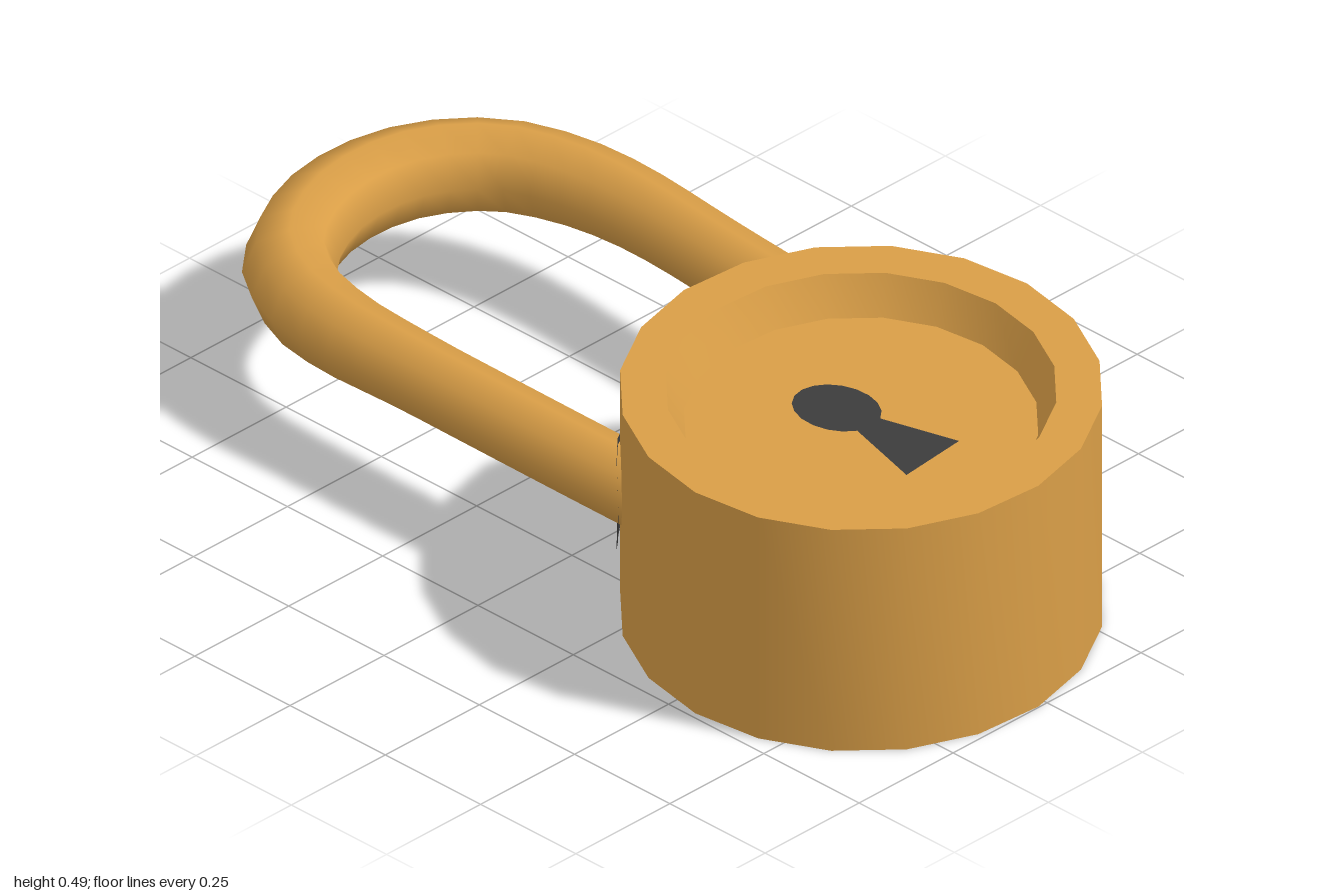
import * as THREE from 'three';
import { toCreasedNormals } from 'three/addons/utils/BufferGeometryUtils.js';

const HEIGHT = 0.485, FLOOR = 0.41;

// slightly skewed round footprint of the body: unit circle (c, s) to x, z
const footprint = (c, s) => [0.518 + 0.48 * c + 0.04 * s, 0.006 + 0.015 * c + 0.482 * s];

// turned body with a tapered recess in its top
function bodyGeometry() {
  const profile = [[0, 0], [1, 0], [1, HEIGHT], [0.81, HEIGHT], [0.735, FLOOR], [0, FLOOR]]
    .map(([r, y]) => new THREE.Vector2(r, y));
  const geo = new THREE.LatheGeometry(profile, 20);
  const pos = geo.attributes.position;
  for (let i = 0; i < pos.count; i++) {
    const [x, z] = footprint(pos.getX(i), pos.getZ(i));
    pos.setXYZ(i, x, pos.getY(i), z);
  }
  return toCreasedNormals(geo, 0.6);
}

// bent bar, a little thicker around the bend
function shackleGeometry() {
  const path = [
    [0.3, -0.362], [0.1, -0.377], [-0.2, -0.4], [-0.5, -0.422], [-0.645, -0.408], [-0.77, -0.362],
    [-0.85, -0.285], [-0.9, -0.18], [-0.909, -0.05], [-0.88, 0.065], [-0.81, 0.18], [-0.7, 0.25],
    [-0.57, 0.277], [-0.4, 0.281], [-0.1, 0.284], [0.1, 0.285], [0.32, 0.285],
  ].map(([x, z]) => new THREE.Vector3(x, 0.252, z));
  const curve = new THREE.CatmullRomCurve3(path);
  const rings = 40, sides = 8;
  const geo = new THREE.TubeGeometry(curve, rings, 0.075, sides, false);
  const pos = geo.attributes.position, p = new THREE.Vector3();
  for (let i = 0; i <= rings; i++) {
    const centre = curve.getPointAt(i / rings);
    const swell = 1 + 0.21 * THREE.MathUtils.smoothstep(-centre.x, 0.3, 0.9);
    for (let j = 0; j <= sides; j++) {
      const k = i * (sides + 1) + j;
      p.fromBufferAttribute(pos, k).sub(centre).multiplyScalar(swell).add(centre);
      pos.setXYZ(k, p.x, p.y, p.z);
    }
  }
  return geo;
}

// round dark patch wrapped onto the body side where the bar enters
function holeGeometry(angle, y) {
  const geo = new THREE.CircleGeometry(1, 12);
  const pos = geo.attributes.position;
  for (let i = 0; i < pos.count; i++) {
    const a = angle - 0.22 * pos.getX(i);
    const [x, z] = footprint(1.007 * Math.cos(a), 1.007 * Math.sin(a));
    pos.setXYZ(i, x, y + 0.112 * pos.getY(i), z);
  }
  geo.computeVertexNormals();
  return geo;
}

// keyhole: oval with a flared slot
function keyholeGeometry() {
  const shape = new THREE.Shape();
  shape.moveTo(0.715, -0.085);
  shape.lineTo(0.7, 0.07);
  shape.absellipse(0.455, -0.007, 0.092, 0.075, 0.42, Math.PI * 2 - 0.42, false, 0);
  shape.closePath();
  return new THREE.ShapeGeometry(shape, 8).rotateX(-Math.PI / 2).translate(0, FLOOR + 0.004, 0);
}

export function createModel() {
  const brass = new THREE.MeshStandardMaterial({ color: 0xd99e47 });
  brass.name = 'brass';
  const dark = new THREE.MeshStandardMaterial({ color: 0x3c3c3c, side: THREE.DoubleSide });
  dark.name = 'dark grey';

  const model = new THREE.Group();
  model.name = 'padlock';
  const add = (name, geometry, material) => {
    const mesh = new THREE.Mesh(geometry, material);
    mesh.name = name;
    model.add(mesh);
  };
  add('body', bodyGeometry(), brass);
  add('shackle', shackleGeometry(), brass);
  add('keyhole', keyholeGeometry(), dark);
  add('frontShackleHole', holeGeometry(THREE.MathUtils.degToRad(142), 0.233), dark);
  add('backShackleHole', holeGeometry(THREE.MathUtils.degToRad(230), 0.233), dark);
  return model;
}
